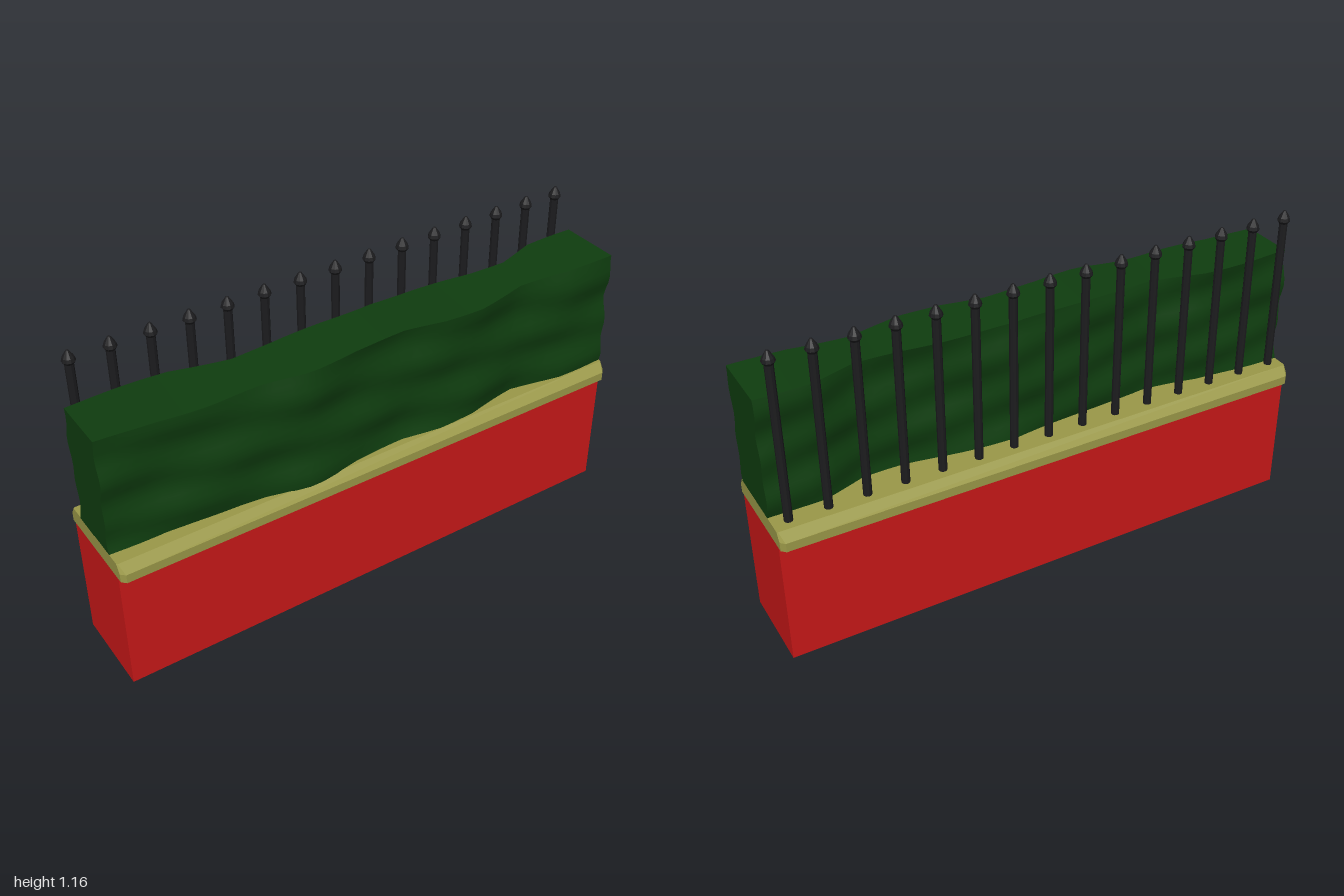
import * as THREE from 'three';

const mat = (color, flatShading = false) => new THREE.MeshStandardMaterial({ color, flatShading, side: THREE.DoubleSide });

// Linear interpolation through [x, z] points
function sample(points, x) {
  for (let i = 1; i < points.length; i++) {
    const [x0, z0] = points[i - 1], [x1, z1] = points[i];
    if (x <= x1) return z0 + (z1 - z0) * (x - x0) / (x1 - x0);
  }
  return points[points.length - 1][1];
}

// Smooth-shaded grid whose points come from fn(u, v)
function surface(fn, nu, nv) {
  const geo = new THREE.PlaneGeometry(1, 1, nu, nv), p = geo.attributes.position;
  for (let i = 0; i < p.count; i++) p.setXYZ(i, ...fn(p.getX(i) + 0.5, p.getY(i) + 0.5));
  geo.computeVertexNormals();
  return geo;
}

// Coping stone: rings with clipped corners, sloping in at the top
function copingGeometry() {
  const ring = (y, z, c) => [
    [1, y, z - c], [1 - c, y, z], [c - 1, y, z], [-1, y, z - c],
    [-1, y, c - z], [c - 1, y, -z], [1 - c, y, -z], [1, y, c - z]];
  const rings = [ring(0.47, 0.192, 0.015), ring(0.503, 0.192, 0.015), ring(0.533, 0.162, 0.004)];
  const verts = rings.flat(2), index = [];
  for (let r = 0; r < 2; r++)
    for (let i = 0; i < 8; i++) {
      const a = r * 8 + i, b = r * 8 + (i + 1) % 8;
      index.push(a, a + 8, b, b, a + 8, b + 8);
    }
  for (let i = 1; i < 7; i++) index.push(0, i, i + 1, 16, 16 + i + 1, 16 + i);
  // Reverse so every face points outward
  for (let i = 0; i < index.length; i += 3) [index[i + 1], index[i + 2]] = [index[i + 2], index[i + 1]];
  const geo = new THREE.BufferGeometry();
  geo.setAttribute('position', new THREE.Float32BufferAttribute(verts, 3));
  geo.setIndex(index);
  const flat = geo.toNonIndexed();
  flat.computeVertexNormals();
  return flat;
}

export function createModel() {
  const model = new THREE.Group();
  const add = (name, geo, material, parent = model) => {
    const mesh = new THREE.Mesh(geo, material);
    mesh.name = name;
    parent.add(mesh);
    return mesh;
  };

  // Wall and coping
  add('wall', new THREE.BoxGeometry(2, 0.47, 0.32), mat(0xc81818)).position.y = 0.235;
  add('coping', copingGeometry(), mat(0x9a9848, true));

  // Hedge: wavy front and back, flat top, bottom and ends
  const hedge = new THREE.Group();
  hedge.name = 'hedge';
  model.add(hedge);
  const green = mat(0x0f3d0f);
  const front = [[-1, 0.11], [-0.8, 0.115], [-0.62, 0.14], [-0.45, 0.145], [-0.28, 0.17], [-0.1, 0.145],
    [0.1, 0.135], [0.25, 0.155], [0.4, 0.155], [0.6, 0.125], [0.8, 0.15], [1, 0.145]];
  const back = [[-1, -0.095], [-0.65, -0.085], [-0.45, -0.045], [-0.3, -0.05], [-0.1, -0.065], [0.1, -0.075],
    [0.3, -0.055], [0.5, -0.035], [0.65, -0.035], [0.8, -0.08], [1, -0.085]];
  const y0 = 0.53, y1 = 0.98;
  const ripple = (x, y, s) => 0.007 * Math.sin(5 * x + 38 * y + s) + 0.006 * Math.sin(11 * x - 17 * y + 2 * s);
  const frontZ = (x, y) => sample(front, x) + ripple(x, y, 0.6);
  const backZ = (x, y) => sample(back, x) + ripple(x, y, 2.4);
  const topY = x => y1 - 0.003 + 0.002 * Math.sin(6 * x + 2);
  const yAt = (x, v) => y0 + (topY(x) - y0) * v;
  const X = u => 2 * u - 1;
  const mix = THREE.MathUtils.lerp;

  add('hedgeFront', surface((u, v) => {
    const x = X(u), y = yAt(x, v);
    return [x, y, frontZ(x, y)];
  }, 40, 16), green, hedge);
  add('hedgeBack', surface((u, v) => {
    const x = -X(u), y = yAt(x, v);
    return [x, y, backZ(x, y)];
  }, 40, 16), green, hedge);
  add('hedgeTop', surface((u, v) => {
    const x = X(u), y = topY(x);
    return [x, y, mix(frontZ(x, y), backZ(x, y), v)];
  }, 40, 1), green, hedge);
  add('hedgeBottom', surface((u, v) => {
    const x = X(u);
    return [x, y0, mix(backZ(x, y0), frontZ(x, y0), v)];
  }, 40, 1), green, hedge);
  for (const s of [-1, 1])
    add(s > 0 ? 'hedgeLeftEnd' : 'hedgeRightEnd', surface((u, v) => {
      const y = yAt(s, v);
      return [s, y, mix(frontZ(s, y), backZ(s, y), s > 0 ? u : 1 - u)];
    }, 1, 16), green, hedge);

  // Railings with pointed finials behind the hedge
  const railings = new THREE.Group();
  railings.name = 'railings';
  model.add(railings);
  const iron = mat(0x1c1c1e, true);
  const profile = [[0, 0.53], [0.015, 0.53], [0.015, 1.107], [0.023, 1.118], [0.02, 1.13], [0.005, 1.154], [0, 1.156]]
    .map(([r, y]) => new THREE.Vector2(r, y));
  const railGeo = new THREE.LatheGeometry(profile, 10);
  for (let i = 0; i < 15; i++)
    add('railing', railGeo, iron, railings).position.set(-0.952 + i * 0.1355, 0, -0.12);

  return model;
}
